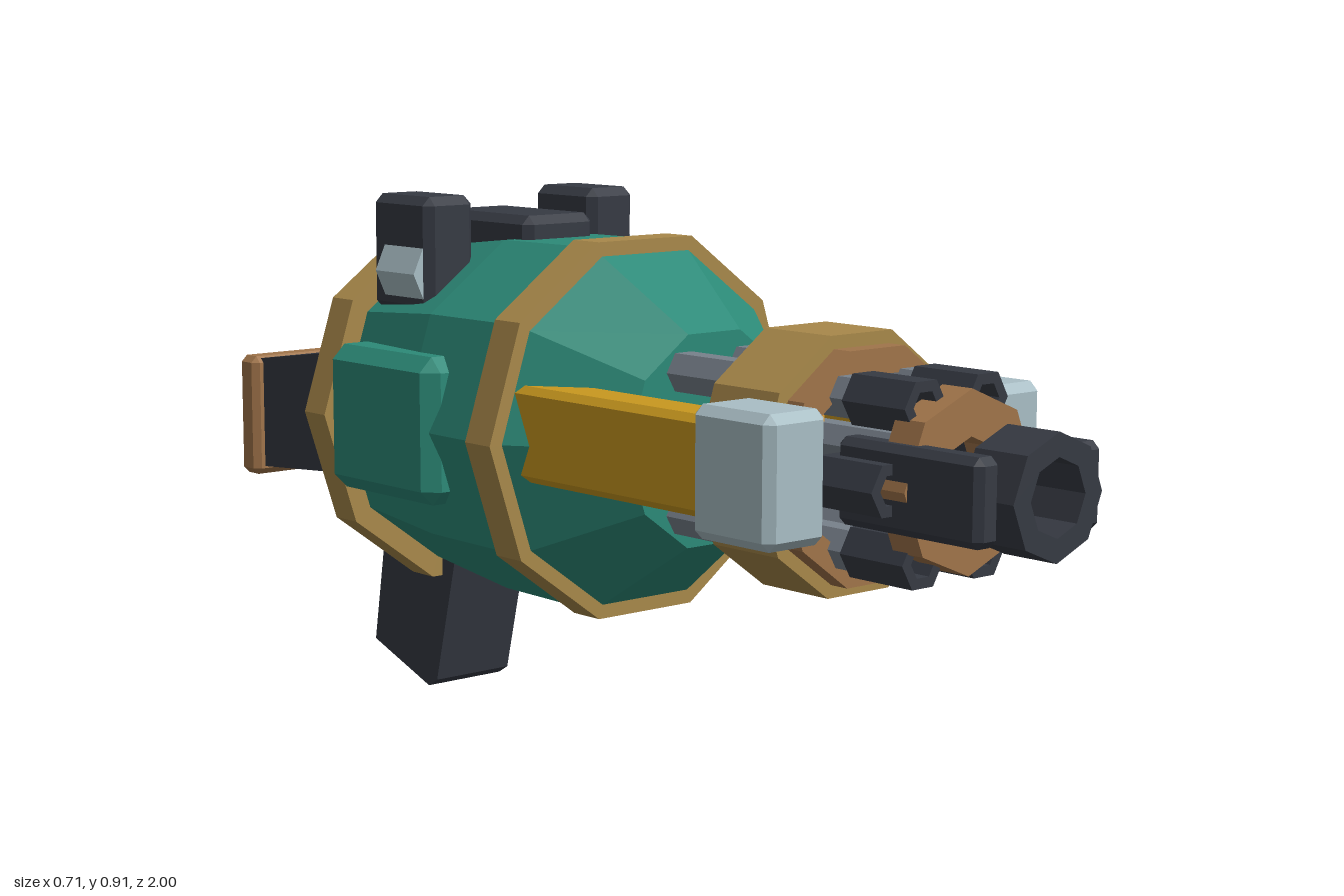
import * as THREE from 'three';
import { ConvexGeometry } from 'three/addons/geometries/ConvexGeometry.js';

const CX = -0.024, CY = 0.53; // main axis

const mat = (name, color) => {
  const m = new THREE.MeshStandardMaterial({ color });
  m.name = name;
  return m;
};

// faceted copy of a geometry
function facet(g) {
  const f = g.index ? g.toNonIndexed() : g;
  f.computeVertexNormals();
  return f;
}

// faceted turned shape along z from [radius, z] pairs
function turned(profile, sides, phi = Math.PI / 2) {
  const pts = profile.map(([r, z]) => new THREE.Vector2(r, z));
  return facet(new THREE.LatheGeometry(pts, sides, phi).rotateX(Math.PI / 2));
}

// hollow ring along z
const ring = (rIn, rOut, z0, z1, sides, phi) =>
  turned([[rIn, z0], [rOut, z0], [rOut, z1], [rIn, z1], [rIn, z0]], sides, phi);

// box with chamfered edges, given by its extents
function chamferBox(x0, x1, y0, y1, z0, z1, c = 0.012) {
  const h = [(x1 - x0) / 2, (y1 - y0) / 2, (z1 - z0) / 2];
  const pts = [];
  for (const sx of [-1, 1]) for (const sy of [-1, 1]) for (const sz of [-1, 1])
    for (let full = 0; full < 3; full++) {
      const e = h.map((v, i) => (i === full ? v : v - c));
      pts.push(new THREE.Vector3(sx * e[0], sy * e[1], sz * e[2]));
    }
  return new ConvexGeometry(pts).translate((x0 + x1) / 2, (y0 + y1) / 2, (z0 + z1) / 2);
}

// slab with a [z, y] side outline, spanning x0..x1
function sideSlab(outline, x0, x1) {
  const pts = [];
  for (const [z, y] of outline) for (const x of [x0, x1]) pts.push(new THREE.Vector3(x, y, z));
  return new ConvexGeometry(pts);
}

export function createModel() {
  const teal = mat('teal shell', 0x2c8a78);
  const dark = mat('charcoal', 0x363a43);
  const brass = mat('brass', 0xa8884a);
  const copper = mat('copper', 0xa0744a);
  const yellow = mat('yellow', 0xc9981f);
  const pale = mat('pale steel', 0xa9bec5);
  const grey = mat('barrel grey', 0x78818b);
  const orange = mat('orange core', 0xe0a040);

  const model = new THREE.Group();
  const add = (name, geometry, material, x = 0, y = 0, z = 0) => {
    const m = new THREE.Mesh(geometry, material);
    m.name = name;
    m.position.set(x, y, z);
    model.add(m);
    return m;
  };
  const axial = (name, geometry, material) => add(name, geometry, material, CX, CY, 0);

  // shell and its hoops
  axial('shell', turned([[0, -0.545], [0.18, -0.545], [0.275, -0.43], [0.295, -0.37],
    [0.32, -0.16], [0.322, 0.03], [0.308, 0.095], [0.185, 0.265], [0, 0.265]], 10), teal);
  axial('frontHoop', ring(0.27, 0.333, 0.03, 0.095, 10), brass);
  axial('rearHoop', ring(0.25, 0.333, -0.43, -0.37, 10), brass);

  // barrel cluster
  for (let i = 0; i < 6; i++) {
    const a = (i * Math.PI) / 3;
    const x = CX + 0.135 * Math.cos(a), y = CY + 0.135 * Math.sin(a);
    add('barrel', ring(0.022, 0.036, 0.25, 0.69, 6), grey, x, y);
    add('muzzleSleeve', ring(0.026, 0.045, 0.67, 0.8, 6), dark, x, y);
  }
  axial('barrelBand', ring(0.165, 0.215, 0.455, 0.6, 10), brass);
  axial('barrelCollar', ring(0.15, 0.193, 0.6, 0.635, 10), copper);
  axial('muzzlePlate', ring(0.07, 0.142, 0.77, 0.83, 8, 0), copper);
  axial('muzzleRing', ring(0.06, 0.097, 0.9, 1.0, 8, 0), dark);
  axial('core', turned([[0, 0.375], [0.145, 0.395], [0, 0.42]], 6, 0), orange);

  // mirrored parts, x measured from the main axis
  const pair = (name, x0, x1, y0, y1, z0, z1, material, c) => {
    for (const s of [-1, 1]) {
      const a = CX + s * x0, b = CX + s * x1;
      add(name, chamferBox(Math.min(a, b), Math.max(a, b), y0, y1, z0, z1, c), material);
    }
  };
  pair('muzzleStrut', 0.087, 0.136, 0.463, 0.597, 0.68, 0.97, dark);
  pair('sideArm', 0.19, 0.281, 0.468, 0.625, 0.03, 0.56, yellow);
  pair('armCap', 0.175, 0.299, 0.44, 0.645, 0.535, 0.71, pale, 0.015);
  pair('sidePanel', 0.22, 0.331, 0.405, 0.655, -0.37, -0.07, teal, 0.025);
  pair('sightPost', 0.129, 0.232, 0.71, 0.91, -0.365, -0.2, dark, 0.015);
  pair('rearBolt', 0.125, 0.155, 0.715, 0.75, -0.465, -0.435, dark, 0.004);

  // angular lamps on the outer faces of the sight posts
  for (const s of [-1, 1]) {
    const lamp = new THREE.CylinderGeometry(0.06, 0.06, 0.11, 6);
    lamp.rotateX(Math.PI / 2).rotateZ(Math.PI / 2).scale(0.8, 1, 1);
    add('sightLamp', facet(lamp), pale, CX + s * 0.204, 0.78, -0.27);
  }

  // top block
  add('topBlock', chamferBox(-0.1, 0.052, 0.78, 0.875, -0.38, -0.125, 0.015), dark);

  // round housing and knob on the left flank
  const housing = ring(0.172, 0.21, 0.1, 0.31, 10).rotateY(Math.PI / 2);
  add('sideHousing', housing, copper, 0, 0.455, -0.26);
  add('sideKnob', chamferBox(0.25, 0.354, 0.357, 0.55, -0.358, -0.172), dark);

  // rear block, stock, butt plate and grip
  add('rearBlock', chamferBox(-0.2, 0.148, 0.388, 0.662, -0.6, -0.5, 0.025), dark);
  add('stock', sideSlab([[-0.56, 0.6], [-0.62, 0.6], [-0.96, 0.552], [-0.96, 0.34], [-0.56, 0.37]],
    -0.105, 0.058), dark);
  add('buttPlate', chamferBox(-0.125, 0.074, 0.325, 0.557, -1.0, -0.943), copper);
  add('grip', sideSlab([[-0.32, 0.3], [-0.39, 0.015], [-0.415, 0], [-0.58, 0.06], [-0.52, 0.42],
    [-0.36, 0.42]], -0.105, 0.058), dark);

  return model;
}
